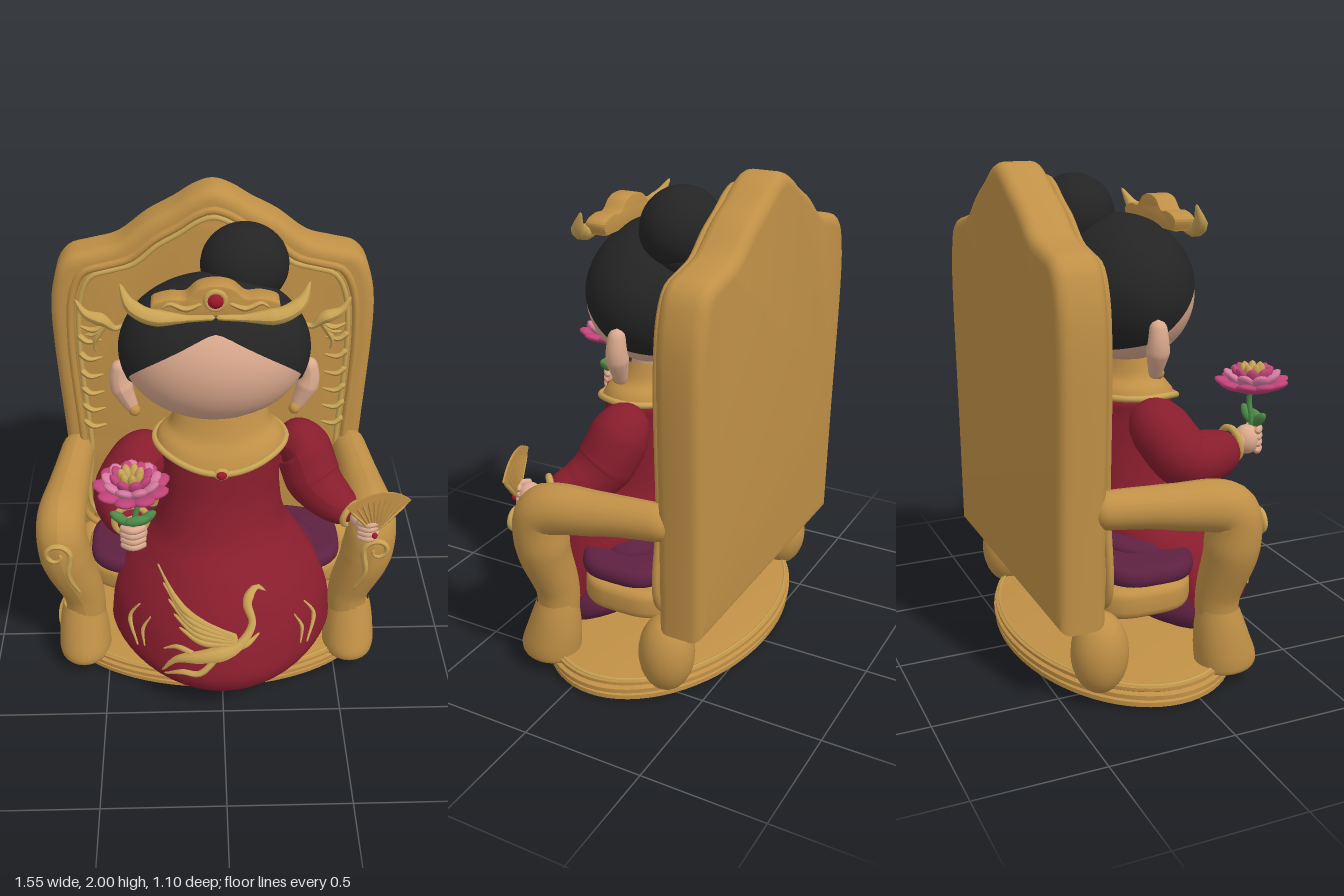
import * as THREE from 'three';
import { toCreasedNormals } from 'three/addons/utils/BufferGeometryUtils.js';

const mat = (name, color, side = THREE.FrontSide) => {
  const m = new THREE.MeshStandardMaterial({ color, side });
  m.name = name;
  return m;
};
const V = (p) => new THREE.Vector3(...p);
const CX = -0.02; // throne centre line

function add(parent, name, geo, material, pos = [0, 0, 0], rot = [0, 0, 0], scale = [1, 1, 1]) {
  const m = new THREE.Mesh(geo, material);
  m.name = name;
  m.position.set(...pos);
  m.rotation.set(...rot);
  m.scale.set(...scale);
  parent.add(m);
  return m;
}
const ball = (w = 24, h = 16) => new THREE.SphereGeometry(1, w, h);

// Tube of varying radius with rounded ends
function sweep(points, radii, seg = 32, sides = 10, closed = false) {
  const curve = new THREE.CatmullRomCurve3(points.map(V), closed);
  const geo = new THREE.TubeGeometry(curve, seg, 1, sides, closed);
  if (!Array.isArray(radii)) radii = [radii, radii];
  const pos = geo.attributes.position, len = curve.getLength(), v = new THREE.Vector3();
  for (let i = 0; i <= seg; i++) {
    const u = i / seg, c = curve.getPointAt(u), f = u * (radii.length - 1);
    const k = Math.min(Math.floor(f), radii.length - 2);
    let r = THREE.MathUtils.lerp(radii[k], radii[k + 1], f - k);
    const d = Math.min(u, 1 - u) * len;
    if (!closed && d < r) r *= Math.sqrt(Math.max(1e-4, 1 - (1 - d / r) ** 2));
    for (let j = 0; j <= sides; j++) {
      const n = i * (sides + 1) + j;
      v.fromBufferAttribute(pos, n).sub(c).multiplyScalar(r).add(c);
      pos.setXYZ(n, v.x, v.y, v.z);
    }
  }
  if (!closed) geo.computeVertexNormals();
  return geo;
}

// Smooth in-between rows of a cross-section list
function dense(rows, steps = 6) {
  const out = [], at = (i) => rows[Math.max(0, Math.min(rows.length - 1, i))];
  for (let i = 0; i < rows.length - 1; i++) for (let s = 0; s < steps; s++) {
    const t = s / steps;
    out.push(rows[i].map((b, k) => {
      const a = at(i - 1)[k], c = at(i + 1)[k], d = at(i + 2)[k];
      return b + 0.5 * t * (c - a + t * (2 * a - 5 * b + 4 * c - d + t * (3 * (b - c) + d - a)));
    }));
  }
  return [...out, rows[rows.length - 1]];
}

// Loft of ovals [y, half width, centre z, front depth, back depth, front pointedness], bottom to top
function loft(rows, shiftY = () => 0, n = 48) {
  const p = [], idx = [];
  rows.forEach(([y, rx, zc, rf, rb, pow = 1], i) => {
    for (let j = 0; j < n; j++) {
      const a = (j / n) * Math.PI * 2, c = Math.cos(a);
      p.push(rx * Math.sin(a), y + shiftY(a, i / (rows.length - 1)), zc + (c > 0 ? rf * c ** pow : rb * c));
      const k = (j + 1) % n, o = i * n;
      if (i < rows.length - 1) idx.push(o + j, o + k, o + n + k, o + j, o + n + k, o + n + j);
    }
  });
  const g = new THREE.BufferGeometry();
  g.setAttribute('position', new THREE.Float32BufferAttribute(p, 3));
  g.setIndex(idx);
  g.computeVertexNormals();
  return g;
}

// Throne back outline, scaled about its middle
function backOutline(sx, sy) {
  const half = [[0.64, 0.34], [0.655, 0.8], [0.68, 1.4], [0.655, 1.62], [0.6, 1.715], [0.5, 1.745],
    [0.39, 1.775], [0.27, 1.865], [0.16, 1.925], [0.08, 1.975]];
  const all = [...half, [0, 2], ...half.map(([x, y]) => [-x, y]).reverse()];
  return all.map(([x, y]) => new THREE.Vector2(CX + x * sx, 1.15 + (y - 1.15) * sy));
}
// Bevelled plate between two z depths
function backSlab(sx, sy, zBack, zFront, bevel) {
  const pts = new THREE.SplineCurve(backOutline(sx, sy)).getPoints(80);
  const geo = new THREE.ExtrudeGeometry(new THREE.Shape(pts), { depth: zFront - zBack - 2 * bevel, bevelThickness: bevel,
    bevelSize: bevel, bevelOffset: -bevel, bevelSegments: 4, steps: 1 });
  return toCreasedNormals(geo.translate(0, 0, zBack + bevel), 0.7);
}

// Rounded rectangle-like slab for the seat
function seatSlab(rx, rz, h, bevel) {
  const pts = [];
  for (let i = 0; i < 64; i++) {
    const a = (i / 64) * Math.PI * 2, c = Math.cos(a), s = Math.sin(a);
    pts.push(new THREE.Vector2(rx * Math.sign(c) * Math.abs(c) ** 0.6, rz * Math.sign(s) * Math.abs(s) ** 0.6));
  }
  const g = new THREE.ExtrudeGeometry(new THREE.Shape(pts), { depth: h - 2 * bevel, bevelThickness: bevel,
    bevelSize: bevel, bevelOffset: -bevel, bevelSegments: 4 });
  g.rotateX(-Math.PI / 2).translate(0, bevel, 0);
  return toCreasedNormals(g, 0.7);
}

export function createModel() {
  const root = new THREE.Group();
  const gold = mat('gold', 0xc09046), pale = mat('pale gold', 0xc9a354), red = mat('robe red', 0x881d2d, THREE.DoubleSide),
    purple = mat('purple', 0x5e2141), skin = mat('skin', 0xdcaa8e), black = mat('hair black', 0x242424, THREE.DoubleSide),
    pink = mat('deep pink', 0xc2447a), rose = mat('light pink', 0xd87ba2), green = mat('green', 0x4c8a48), ruby = mat('ruby', 0xa0182c);
  const group = (name) => { const g = new THREE.Group(); g.name = name; root.add(g); return g; };

  // Throne: base, seat, back
  const throne = group('throne');
  const base = [[0, 0], [0.96, 0], [0.99, 0.012], [0.99, 0.03], [0.97, 0.036], [1, 0.045], [1, 0.062], [0.97, 0.068], [0.985, 0.075],
    [0.985, 0.088], [0.95, 0.092], [0, 0.088]].map((p) => new THREE.Vector2(...p));
  add(throne, 'base', toCreasedNormals(new THREE.LatheGeometry(base, 72), 0.6), gold, [-0.025, 0, -0.09], [0, 0, 0], [0.725, 1, 0.463]);
  const rim = new THREE.TorusGeometry(1, 0.012, 6, 72).rotateX(Math.PI / 2);
  add(throne, 'baseTrim', rim, pale, [-0.025, 0.089, -0.09], [0, 0, 0], [0.695, 0.7, 0.44]);
  add(throne, 'seat', seatSlab(0.57, 0.25, 0.12, 0.035), gold, [CX, 0.31, -0.14]);
  add(throne, 'cushion', seatSlab(0.55, 0.23, 0.08, 0.035), purple, [CX, 0.42, -0.1]);
  add(throne, 'backrest', backSlab(1, 1, -0.548, -0.358, 0.045), gold);
  add(throne, 'backPanel', backSlab(0.87, 0.91, -0.4, -0.342, 0.012), gold);
  for (const [sx, sy, r] of [[0.88, 0.92, 0.016], [0.83, 0.885, 0.011]]) {
    const pts = backOutline(sx, sy).map((p) => [p.x, p.y, -0.336]);
    add(throne, 'backMoulding', sweep(pts, r, 160, 8, true), r > 0.012 ? gold : pale);
  }
  const foot = loft(dense([[0.058, 0.005, 0.01, 0.005, 0.005], [0.06, 0.095, 0.01, 0.11, 0.1], [0.1, 0.113, 0.01, 0.135, 0.115],
    [0.18, 0.109, 0, 0.118, 0.11], [0.26, 0.098, -0.01, 0.098, 0.095], [0.32, 0.085, -0.015, 0.08, 0.08]], 4), undefined, 24);
  for (const s of [-1, 1]) {
    const m = (pts) => pts.map(([x, y, z]) => [CX + s * x, y, z]);
    add(throne, 'backLeg', ball(), gold, [CX + s * 0.56, 0.21, -0.36], [0, 0, 0], [0.11, 0.165, 0.112]);
    add(throne, 'armAndLeg', sweep(m([[0.6, 0.8, -0.42], [0.63, 0.78, -0.1], [0.65, 0.735, 0.14], [0.635, 0.58, 0.155],
      [0.575, 0.35, 0.13], [0.585, 0.13, 0.14]]), [0.07, 0.08, 0.1, 0.11, 0.088, 0.08], 64, 20), gold);
    add(throne, 'foot', foot, gold, [CX + s * 0.585, 0, 0.145]);
    const scroll = [[0.58, 0.45, 0.235], [0.62, 0.57, 0.26]];
    for (let i = 0; i < 12; i++) {
      const a = -0.5 + i * 0.7, r = 0.062 - i * 0.0045;
      scroll.push([0.665 - r * Math.cos(a), 0.675 + r * Math.sin(a), 0.258]);
    }
    add(throne, 'armScroll', sweep(m(scroll), [0.006, 0.014, 0.012, 0.01], 64, 8), pale);
    // Carved claws and small bird on the back panel
    for (let i = 0; i < 6; i++) {
      const y = 0.93 + i * 0.085;
      add(throne, 'carvedClaw', sweep(m([[0.57, y + 0.03, -0.335], [0.53, y, -0.325], [0.47, y + 0.005, -0.335]]), [0.016, 0.012, 0.004], 12, 6), pale);
    }
    add(throne, 'carvedBird', sweep(m([[0.57, 1.55, -0.33], [0.53, 1.49, -0.32], [0.46, 1.46, -0.315], [0.41, 1.42, -0.32],
      [0.36, 1.44, -0.33]]), [0.006, 0.018, 0.03, 0.015, 0.006], 24, 8), pale);
    for (let i = 0; i < 4; i++)
      add(throne, 'carvedFeather', sweep(m([[0.44, 1.45, -0.32], [0.5, 1.41 - i * 0.02, -0.325], [0.57 - i * 0.025, 1.43 - i * 0.045, -0.335]]), [0.012, 0.013, 0.003], 12, 6), pale);
  }

  // Robe
  const figure = group('figure');
  const robe = dense([[0.115, 0.34, 0.16, 0.33, 0.1, 1.1], [0.15, 0.44, 0.14, 0.385, 0.13, 1.3], [0.22, 0.475, 0.13, 0.42, 0.14, 1.4],
    [0.3, 0.473, 0.12, 0.41, 0.16, 1.4], [0.4, 0.457, 0.1, 0.385, 0.22, 1.35], [0.5, 0.415, 0.06, 0.37, 0.29, 1.3],
    [0.6, 0.345, 0.02, 0.335, 0.28, 1.2], [0.7, 0.276, 0, 0.265, 0.255, 1], [0.85, 0.25, -0.01, 0.215, 0.235, 1],
    [1.0, 0.25, -0.01, 0.19, 0.21, 1], [1.07, 0.255, -0.01, 0.18, 0.2, 1], [1.12, 0.2, -0.01, 0.13, 0.15, 1]]);
  add(figure, 'robe', loft(robe, (a, t) => 0.045 * Math.sin(a) ** 2 * Math.max(0, 1 - t * 5)), red);
  add(figure, 'underskirt', loft(dense([[0.095, 0.01, 0.22, 0.01, 0.01, 1.3], [0.096, 0.27, 0.22, 0.2, 0.08, 1.3], [0.13, 0.42, 0.15, 0.335, 0.14, 1.4],
    [0.2, 0.468, 0.12, 0.4, 0.24, 1.4], [0.3, 0.455, 0.1, 0.4, 0.17, 1.4], [0.42, 0.4, 0.1, 0.33, 0.14, 1.4]], 4)), purple);
  add(figure, 'sash', ball(), purple, [0, 0.49, -0.07], [0.12, 0, 0], [0.42, 0.078, 0.21]);

  // Embroidery following the front of the skirt
  const onRobe = ([x, y]) => {
    const i = Math.max(1, robe.findIndex((r) => r[0] >= y)), a = robe[i - 1], b = robe[i];
    const [, rx, zc, rf, , pow] = a.map((v, k) => v + (b[k] - v) * (y - a[0]) / (b[0] - a[0]));
    return [x, y, zc + rf * Math.max(0, 1 - (x / rx) ** 2) ** (pow / 2) + 0.002];
  };
  const stitch = (name, pts, radii) => add(figure, name, sweep(pts.map(onRobe), radii, 36, 8), pale);
  stitch('birdBody', [[0.18, 0.545], [0.14, 0.57], [0.1, 0.53], [0.12, 0.45], [0.05, 0.37], [-0.08, 0.335], [-0.19, 0.3], [-0.26, 0.21]],
    [0.004, 0.022, 0.016, 0.02, 0.036, 0.028, 0.014, 0.005]);
  stitch('birdTail', [[-0.02, 0.34], [-0.1, 0.26], [-0.17, 0.25], [-0.25, 0.2]], [0.014, 0.014, 0.012, 0.004]);
  stitch('birdTail', [[-0.1, 0.33], [-0.19, 0.35], [-0.25, 0.32]], [0.014, 0.012, 0.003]);
  for (let i = 0; i < 5; i++)
    stitch('wingFeather', [[-0.27 + i * 0.022, 0.595 - i * 0.042], [-0.15 + i * 0.015, 0.49 - i * 0.025], [0.06, 0.405 - i * 0.006]], [0.005, 0.016, 0.014]);
  stitch('wingFeather', [[0.15, 0.41], [0.1, 0.38], [0.03, 0.36]], [0.004, 0.014, 0.014]);
  for (const s of [-1, 1]) {
    stitch('sideSpray', [[s * 0.345, 0.44], [s * 0.39, 0.36], [s * 0.36, 0.26]], [0.004, 0.011, 0.004]);
    stitch('sideSpray', [[s * 0.3, 0.42], [s * 0.335, 0.35], [s * 0.33, 0.28]], [0.003, 0.009, 0.003]);
  }

  // Collar with trim and gem
  const dip = (a) => -0.055 * Math.max(0, Math.cos(a)) ** 3;
  add(figure, 'collar', loft(dense([[1.085, 0.268, -0.01, 0.2, 0.205], [1.12, 0.25, -0.01, 0.175, 0.19], [1.16, 0.208, -0.015, 0.14, 0.15],
    [1.235, 0.19, -0.025, 0.12, 0.12]], 4), (a, t) => dip(a) * (1 - t)), gold);
  const trim = [];
  for (let i = 0; i < 24; i++) {
    const a = (i / 24) * Math.PI * 2;
    trim.push([0.27 * Math.sin(a), 1.087 + dip(a), -0.01 + 0.205 * Math.cos(a)]);
  }
  add(figure, 'collarTrim', sweep(trim, 0.013, 96, 8, true), pale);
  add(figure, 'collarGemMount', ball(), pale, [0, 1.033, 0.196], [0, 0, 0], [0.032, 0.028, 0.014]);
  add(figure, 'collarGem', ball(), ruby, [0, 1.033, 0.203], [0, 0, 0], [0.022, 0.02, 0.016]);

  // Sleeves, cuffs and hands
  add(figure, 'rightSleeve', sweep([[-0.22, 1.04, -0.03], [-0.33, 0.98, 0], [-0.41, 0.87, 0.08], [-0.395, 0.865, 0.2], [-0.365, 0.89, 0.32]], [0.09, 0.12, 0.122, 0.105, 0.075], 48, 20), red);
  add(figure, 'leftSleeve', sweep([[0.24, 1.05, -0.05], [0.33, 1.01, -0.05], [0.4, 0.86, 0.01], [0.48, 0.8, 0.08], [0.56, 0.79, 0.16]], [0.09, 0.12, 0.12, 0.095, 0.06], 48, 20), red);
  const hand = (name, centre, s, cuffAt, cuffR) => {
    const aim = V(centre).sub(V(cuffAt)).normalize();
    const cuff = add(figure, name + 'Cuff', new THREE.TorusGeometry(cuffR, 0.014, 8, 28), pale, cuffAt);
    cuff.quaternion.setFromUnitVectors(new THREE.Vector3(0, 0, 1), aim);
    add(figure, name + 'Wrist', sweep([cuffAt, centre], 0.04 * s, 10, 12), skin);
    add(figure, name, ball(), skin, centre, [0, 0, 0], [0.055 * s, 0.06 * s, 0.055 * s]);
    for (let i = 0; i < 4; i++) {
      const y = centre[1] + (0.04 - i * 0.027) * s, w = 0.05 * s;
      add(figure, name + 'Finger', sweep([[centre[0] - w, y, centre[2] + 0.02], [centre[0], y + 0.004, centre[2] + 0.052 * s],
        [centre[0] + w, y, centre[2] + 0.02]], 0.016 * s, 14, 8), skin);
    }
  };
  hand('rightHand', [-0.352, 0.895, 0.38], 1, [-0.365, 0.89, 0.3], 0.066);
  hand('leftHand', [0.6, 0.775, 0.215], 0.9, [0.545, 0.79, 0.15], 0.055);
  add(figure, 'ring', ball(12, 8), ruby, [0.625, 0.765, 0.27], [0, 0, 0], [0.013, 0.013, 0.013]);

  // Folding fan
  const fan = group('fan');
  fan.position.set(0.625, 0.765, 0.255);
  fan.rotation.y = 0.27;
  const sector = new THREE.Shape();
  sector.absarc(0, 0, 0.205, 0.75, 2.25, false);
  sector.absarc(0, 0, 0.03, 2.25, 0.75, true);
  add(fan, 'fanLeaf', new THREE.ExtrudeGeometry(sector, { depth: 0.008, bevelEnabled: false, curveSegments: 24 }), gold, [0, 0, -0.004]);
  for (let i = 0; i <= 10; i++) {
    const a = 0.75 + i * 0.15;
    add(fan, 'fanRib', sweep([[0, 0, 0], [0.212 * Math.cos(a), 0.212 * Math.sin(a), 0]], 0.007, 4, 6), i % 10 ? gold : pale);
  }

  // Lotus flower
  const flower = group('lotus');
  flower.position.set(-0.348, 0, 0.4);
  add(flower, 'stem', sweep([[0, 0.84, 0], [0.005, 0.98, 0.005], [0.018, 1.05, 0], [0, 1.12, 0]], 0.011, 20, 8), green);
  for (const s of [-1, 1, 0.3])
    add(flower, 'leaf', ball(12, 8), green, [s * 0.05, 0.985, 0.03 - 0.02 * s * s], [0, 0, s * 0.7], [0.05, 0.02, 0.02]);
  add(flower, 'flowerHeart', ball(), pink, [0, 1.12, 0], [0, 0, 0], [0.09, 0.035, 0.09]);
  for (const [n, r, y, tilt, w, l, m] of [[9, 0.1, 1.125, 0.35, 0.043, 0.054, pink], [9, 0.076, 1.145, 0.7, 0.035, 0.05, rose],
    [8, 0.055, 1.16, 1.0, 0.027, 0.045, pink], [7, 0.03, 1.17, 1.25, 0.019, 0.042, pale]])
    for (let i = 0; i < n; i++) {
      const pivot = new THREE.Group();
      pivot.rotation.y = (i / n) * Math.PI * 2 + r * 5;
      add(pivot, 'petal', ball(12, 8), m, [0, y, r], [-tilt, 0, 0], [w, 0.018, l]);
      flower.add(pivot);
    }

  // Head, hair, ears
  const head = group('head');
  head.position.x = -0.022;
  add(head, 'neck', new THREE.CylinderGeometry(0.13, 0.15, 0.16, 24), skin, [0.02, 1.2, -0.06]);
  add(head, 'face', ball(48, 32), skin, [0, 1.488, -0.03], [0, 0, 0], [0.37, 0.288, 0.275]);
  const hair = new THREE.SphereGeometry(1, 72, 32, 0, Math.PI * 2, 0, 2), hp = hair.attributes.position;
  for (let i = 0; i < hp.count; i++) {
    const u = (i % 73) / 72, t = Math.floor(i / 73) / 32, az = (u * 2 - 1) * Math.PI, a = Math.abs(az);
    const edge = Math.min(0.93 + 0.85 * a * a / (a + 0.15), 2.14 + 0.2 * (a - 1.56)), th = t * edge;
    hp.setXYZ(i, -Math.sin(az) * Math.sin(th), Math.cos(th), Math.cos(az) * Math.sin(th));
  }
  hair.setIndex([...hair.index.array].reverse());
  hair.computeVertexNormals();
  add(head, 'hair', hair, black, [0, 1.488, -0.035], [0, 0, 0], [0.38, 0.3, 0.284]);
  add(head, 'bun', ball(32, 24), black, [0.122, 1.775, -0.18], [0, 0, 0], [0.175, 0.165, 0.16]);
  add(head, 'bunBase', ball(), black, [0.1, 1.68, -0.2], [0, 0, 0], [0.16, 0.08, 0.12]);
  for (const s of [-1, 1]) {
    add(head, 'ear', sweep([[s * 0.375, 1.43, -0.04], [s * 0.38, 1.33, -0.04], [s * 0.325, 1.19, -0.03]], [0.03, 0.046, 0.022], 24, 14), skin);
    add(head, 'earring', ball(12, 8), gold, [s * 0.325, 1.21, -0.015], [0, 0, 0], [0.025, 0.025, 0.025]);
    add(head, 'crownHorn', sweep([[0, 1.74, 0.195], [s * 0.14, 1.735, 0.19], [s * 0.25, 1.745, 0.185], [s * 0.315, 1.78, 0.16], [s * 0.35, 1.85, 0.125]],
      [0.01, 0.014, 0.032, 0.03, 0.004], 36, 10), pale);
  }

  // Crown
  const plate = new THREE.Shape();
  plate.moveTo(-0.22, 1.74);
  plate.lineTo(0.22, 1.74);
  plate.splineThru([[0.23, 1.78], [0.17, 1.8], [0.11, 1.8], [0.06, 1.84], [0, 1.852], [-0.06, 1.84], [-0.11, 1.8], [-0.17, 1.8],
    [-0.23, 1.78], [-0.22, 1.74]].map((p) => new THREE.Vector2(...p)));
  add(head, 'crown', toCreasedNormals(new THREE.ExtrudeGeometry(plate, { depth: 0.075, bevelSize: 0.006, bevelThickness: 0.006, bevelSegments: 2, curveSegments: 40 }), 0.7), gold, [0, 0, 0.097]);
  add(head, 'crownGemMount', new THREE.TorusGeometry(0.035, 0.011, 8, 28), pale, [0, 1.805, 0.185]);
  add(head, 'crownGem', ball(), ruby, [0, 1.805, 0.185], [0, 0, 0], [0.032, 0.032, 0.022]);
  for (const s of [-1, 1])
    add(head, 'crownScroll', sweep([[s * 0.05, 1.79, 0.182], [s * 0.11, 1.77, 0.182], [s * 0.17, 1.79, 0.18], [s * 0.2, 1.77, 0.18]], [0.006, 0.012, 0.01, 0.004], 20, 6), pale);
  return root;
}
